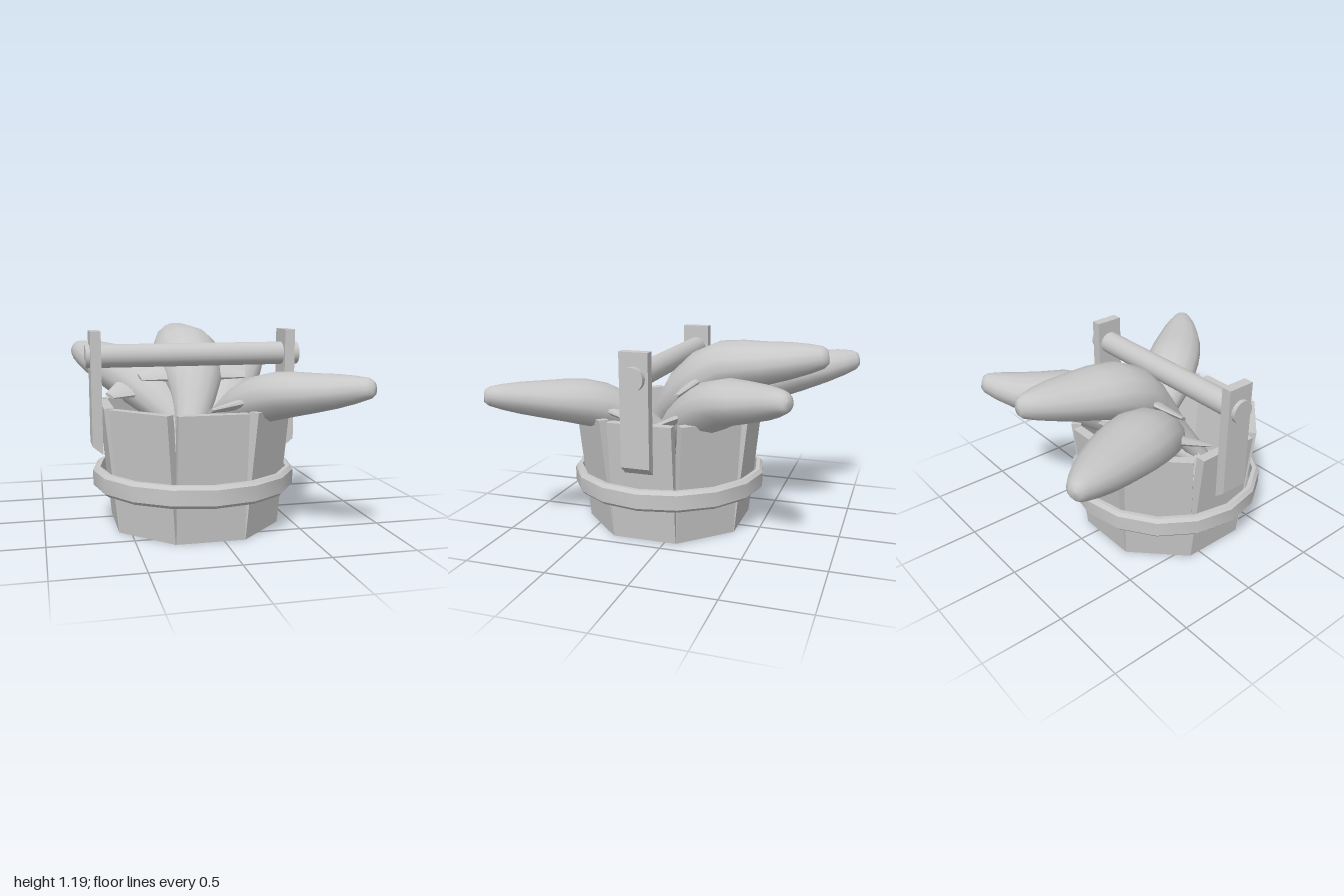
import * as THREE from 'three';
import { toCreasedNormals } from 'three/addons/utils/BufferGeometryUtils.js';

const grey = new THREE.MeshStandardMaterial({ color: 0xc8c8c8 });
grey.name = 'grey';

const CX = -0.08, CZ = 0.13; // bucket axis

function add(parent, name, geo) {
  const m = new THREE.Mesh(geo, grey);
  m.name = name;
  parent.add(m);
  return m;
}

function makeBucket() {
  const g = new THREE.Group();
  g.name = 'bucket';
  g.position.set(CX, 0, CZ);

  // eight staves leaning outwards
  for (let i = 0; i < 8; i++) {
    const geo = new THREE.BoxGeometry(0.4, 0.745, 0.06);
    const p = geo.attributes.position;
    for (let k = 0; k < p.count; k++) {
      const top = p.getY(k) > 0;
      p.setXYZ(k, p.getX(k), top ? 0.745 : 0, p.getZ(k) + (top ? 0.535 : 0.46));
    }
    geo.computeVertexNormals();
    add(g, 'stave', geo).rotation.y = i * Math.PI / 4;
  }

  // bevelled sixteen-sided hoop
  const hoop = [[0.575, 0.23], [0.6, 0.23], [0.62, 0.25], [0.62, 0.34], [0.6, 0.36], [0.575, 0.36], [0.575, 0.23]];
  const hoopGeo = new THREE.LatheGeometry(hoop.map(([x, y]) => new THREE.Vector2(x, y)), 16);
  add(g, 'hoop', toCreasedNormals(hoopGeo, 0.5));

  // floor planks cut to the octagon
  const a = 0.45, kink = a * (Math.SQRT2 - 1);
  const reach = s => Math.min(a, a * Math.SQRT2 - Math.abs(s));
  for (let i = 0; i < 4; i++) {
    const s0 = -a + i * a / 2 + 0.005, s1 = s0 + a / 2 - 0.01;
    const xs = [s0, -kink, kink, s1].filter(s => s >= s0 && s <= s1);
    const pts = [...xs.map(s => new THREE.Vector2(s, -reach(s))), ...xs.reverse().map(s => new THREE.Vector2(s, reach(s)))];
    const plank = add(g, 'floorPlank', new THREE.ExtrudeGeometry(new THREE.Shape(pts), { depth: 0.04, bevelEnabled: false }));
    plank.rotation.x = -Math.PI / 2;
    plank.position.y = 0.04;
  }

  // handle posts with slanted feet
  for (const side of [-1, 1]) {
    const geo = new THREE.BoxGeometry(0.062, 0.73, 0.175);
    geo.translate(side * 0.594, 0.815, 0);
    const p = geo.attributes.position;
    for (let k = 0; k < p.count; k++) {
      if (p.getY(k) < 0.6 && Math.abs(p.getX(k)) > 0.594) p.setY(k, 0.5);
    }
    geo.computeVertexNormals();
    add(g, 'handlePost', geo);
  }
  const rod = add(g, 'handleRod', new THREE.CylinderGeometry(0.07, 0.07, 1.315, 20));
  rod.rotation.z = Math.PI / 2;
  rod.position.set(0.007, 1.03, 0);
  return g;
}

// position along the body, half width, half height
const PROFILE = [
  [0, 0, 0], [0.01, 0.055, 0.045], [0.2, 0.09, 0.075], [0.32, 0.135, 0.11], [0.42, 0.18, 0.145],
  [0.52, 0.207, 0.165], [0.6, 0.213, 0.165], [0.68, 0.205, 0.15], [0.77, 0.182, 0.13],
  [0.86, 0.147, 0.11], [0.93, 0.107, 0.088], [0.98, 0.068, 0.066], [0.996, 0.038, 0.045], [1, 0, 0],
];

function frameAt(curve, t) {
  const T = curve.getTangentAt(t);
  const S = new THREE.Vector3().crossVectors(T, new THREE.Vector3(0, 1, 0)).normalize();
  const N = new THREE.Vector3().crossVectors(S, T);
  return { P: curve.getPointAt(t), T, S, N };
}

function makeFish(points, scale) {
  const g = new THREE.Group();
  g.name = 'fish';
  const curve = new THREE.CatmullRomCurve3(points.map(p => new THREE.Vector3(...p)));

  // body lofted from elliptical rings
  const R = 14, pos = [], idx = [];
  PROFILE.forEach(([t, w, h], i) => {
    const { P, S, N } = frameAt(curve, t);
    for (let j = 0; j < R; j++) {
      const an = j / R * Math.PI * 2;
      const v = P.clone().addScaledVector(S, Math.cos(an) * w * scale).addScaledVector(N, Math.sin(an) * h * scale);
      pos.push(v.x, v.y, v.z);
      if (i === PROFILE.length - 1) continue;
      const a = i * R + j, b = i * R + (j + 1) % R;
      idx.push(a, a + R, b, b, a + R, b + R);
    }
  });
  const body = new THREE.BufferGeometry();
  body.setAttribute('position', new THREE.Float32BufferAttribute(pos, 3));
  body.setIndex(idx);
  body.computeVertexNormals();
  add(g, 'fishBody', body);

  // broad notched tail
  const fork = [[-0.06, 0.14], [-0.13, 0], [-0.2, -0.11], [-0.1, -0.11], [0, -0.06], [0.1, -0.11], [0.2, -0.11], [0.13, 0], [0.06, 0.14]];
  const tailGeo = new THREE.ExtrudeGeometry(new THREE.Shape(fork.map(p => new THREE.Vector2(...p))), { depth: 0.04, bevelEnabled: false });
  tailGeo.translate(0, 0, -0.02);
  const f = frameAt(curve, 0.01);
  tailGeo.applyMatrix4(new THREE.Matrix4().makeBasis(f.S, f.T, f.N).setPosition(f.P));
  add(g, 'tailFin', tailGeo);

  // blunt side fins pointing outwards
  const q = frameAt(curve, 0.5);
  for (const side of [-1, 1]) {
    const Y = q.S.clone().multiplyScalar(side).addScaledVector(q.T, -0.3).normalize();
    const X = new THREE.Vector3().crossVectors(Y, q.N).normalize();
    const Z = new THREE.Vector3().crossVectors(X, Y);
    const fin = new THREE.CylinderGeometry(0.035, 0.13, 0.28, 10);
    fin.scale(1, 1, 0.3);
    const at = q.P.clone().addScaledVector(Y, 0.2 * scale + 0.02);
    fin.applyMatrix4(new THREE.Matrix4().makeBasis(X, Y, Z).setPosition(at));
    add(g, 'sideFin', toCreasedNormals(fin, 0.9));
  }
  return g;
}

export function createModel() {
  const model = new THREE.Group();
  model.name = 'bucketOfFish';
  model.add(makeBucket());

  // each path runs from tail to nose
  model.add(
    makeFish([[0.1, 0.3, 0.38], [-0.05, 0.46, 0.2], [-0.2, 0.68, 0], [-0.36, 0.85, -0.27], [-0.5, 0.915, -0.57], [-0.712, 0.995, -0.995]], 1),
    makeFish([[-0.24, 0.34, 0.38], [-0.12, 0.58, 0.22], [-0.05, 0.84, 0.02], [-0.05, 1.0, -0.2], [-0.03, 1.055, -0.5], [-0.025, 1.115, -0.88]], 1),
    makeFish([[-0.26, 0.36, 0.34], [0, 0.52, 0.14], [0.16, 0.72, -0.09], [0.29, 0.865, -0.31], [0.43, 0.915, -0.55], [0.62, 0.975, -0.755]], 0.92),
    makeFish([[-0.1, 0.35, -0.08], [0.05, 0.58, 0.15], [0.18, 0.74, 0.36], [0.31, 0.815, 0.53], [0.47, 0.855, 0.73], [0.715, 0.91, 0.99]], 0.85),
  );
  return model;
}
